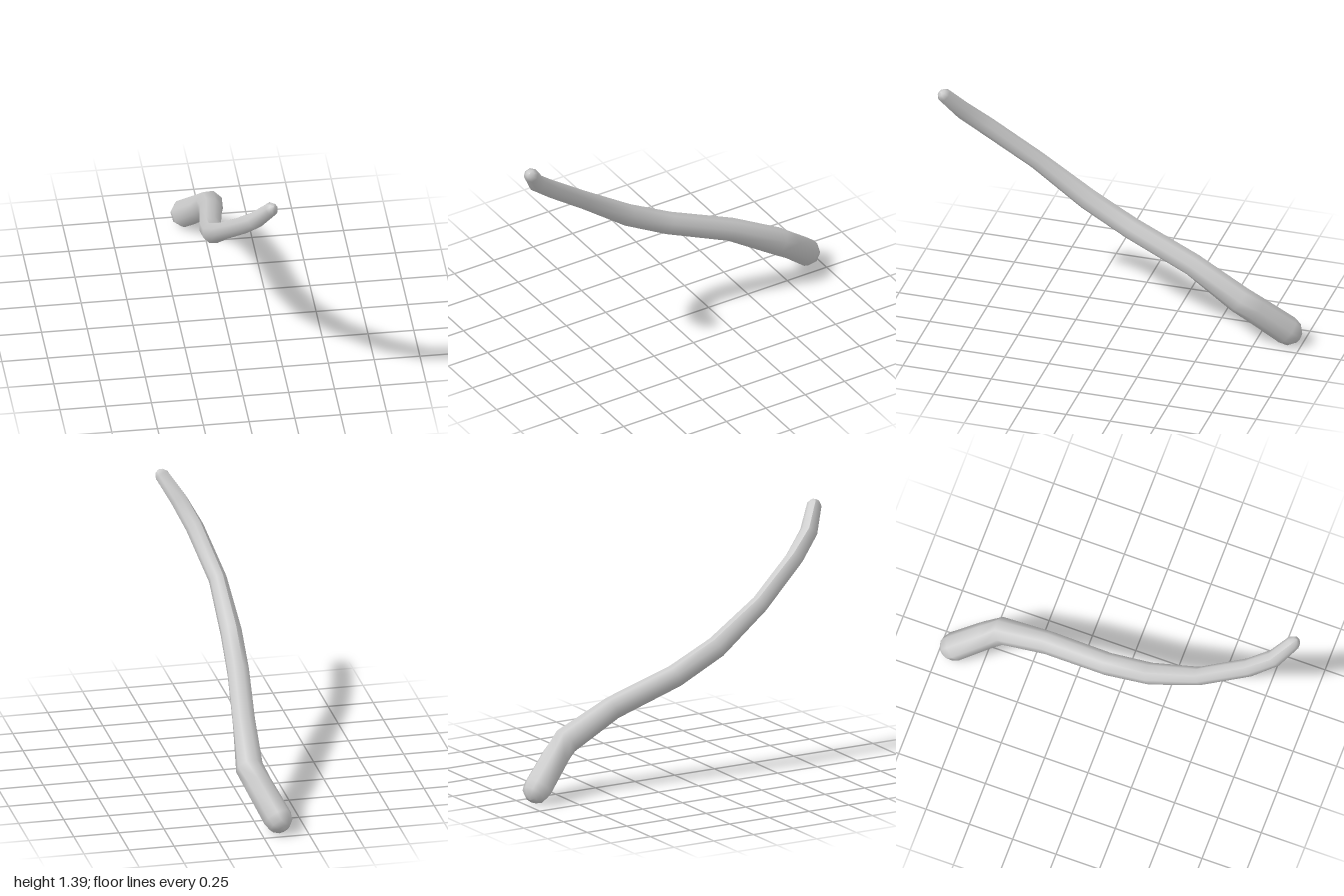
import * as THREE from 'three';

const SIDES = 8;

// Cross-sections along the stem: x, y, z, radius
const SECTIONS = [
  [-0.117, 0.030, -0.980, 0.001], // rounded butt
  [-0.114, 0.036, -0.973, 0.038],
  [-0.105, 0.053, -0.953, 0.068],
  [-0.092, 0.083, -0.918, 0.080],
  [-0.020, 0.225, -0.760, 0.076],
  [0.010, 0.290, -0.680, 0.076], // elbow
  [-0.022, 0.445, -0.405, 0.064],
  [-0.073, 0.585, -0.040, 0.062],
  [-0.090, 0.715, 0.210, 0.060],
  [-0.079, 0.915, 0.490, 0.050],
  [-0.010, 1.120, 0.750, 0.050],
  [0.050, 1.235, 0.875, 0.048],
  [0.128, 1.358, 0.957, 0.040], // blunt tip
  [0.138, 1.376, 0.969, 0.024],
  [0.141, 1.383, 0.973, 0.001],
];
const CREASE_FROM = 8; // the ridge line starts at this section
const SEAM_ANGLE = Math.PI * 0.62;

function stemGeometry() {
  const centres = SECTIONS.map(([x, y, z]) => new THREE.Vector3(x, y, z));
  const last = centres.length - 1;
  const positions = [], indices = [];
  const row = SIDES + 1;

  centres.forEach((c, i) => {
    // Mitre each ring between its two neighbouring segments
    const before = c.clone().sub(centres[Math.max(i - 1, 0)]).normalize();
    const after = centres[Math.min(i + 1, last)].clone().sub(c).normalize();
    const along = before.add(after).normalize();
    const side = new THREE.Vector3(0, 1, 0).cross(along).normalize();
    const up = along.clone().cross(side);
    for (let j = 0; j <= SIDES; j++) {
      const a = SEAM_ANGLE + ((j % SIDES) / SIDES) * Math.PI * 2;
      const r = SECTIONS[i][3];
      const p = c.clone().addScaledVector(side, r * Math.cos(a)).addScaledVector(up, r * Math.sin(a));
      positions.push(p.x, p.y, p.z);
      if (i < last && j < SIDES) {
        const k = i * row + j;
        indices.push(k, k + 1, k + row, k + 1, k + row + 1, k + row);
      }
    }
  });

  const geometry = new THREE.BufferGeometry();
  geometry.setAttribute('position', new THREE.Float32BufferAttribute(positions, 3));
  geometry.setIndex(indices);
  geometry.computeVertexNormals();

  // Smooth the seam on the thick half; leave it as a ridge on the thin half
  const normals = geometry.attributes.normal;
  for (let i = 0; i < CREASE_FROM; i++) {
    const first = i * row, end = first + SIDES;
    const n = new THREE.Vector3().fromBufferAttribute(normals, first)
      .add(new THREE.Vector3().fromBufferAttribute(normals, end)).normalize();
    normals.setXYZ(first, n.x, n.y, n.z);
    normals.setXYZ(end, n.x, n.y, n.z);
  }
  return geometry;
}

export function createModel() {
  const group = new THREE.Group();
  group.name = 'curvedStem';
  const stem = new THREE.Mesh(stemGeometry(), new THREE.MeshStandardMaterial({ color: 0xcccccc }));
  stem.name = 'stem';
  group.add(stem);
  return group;
}
